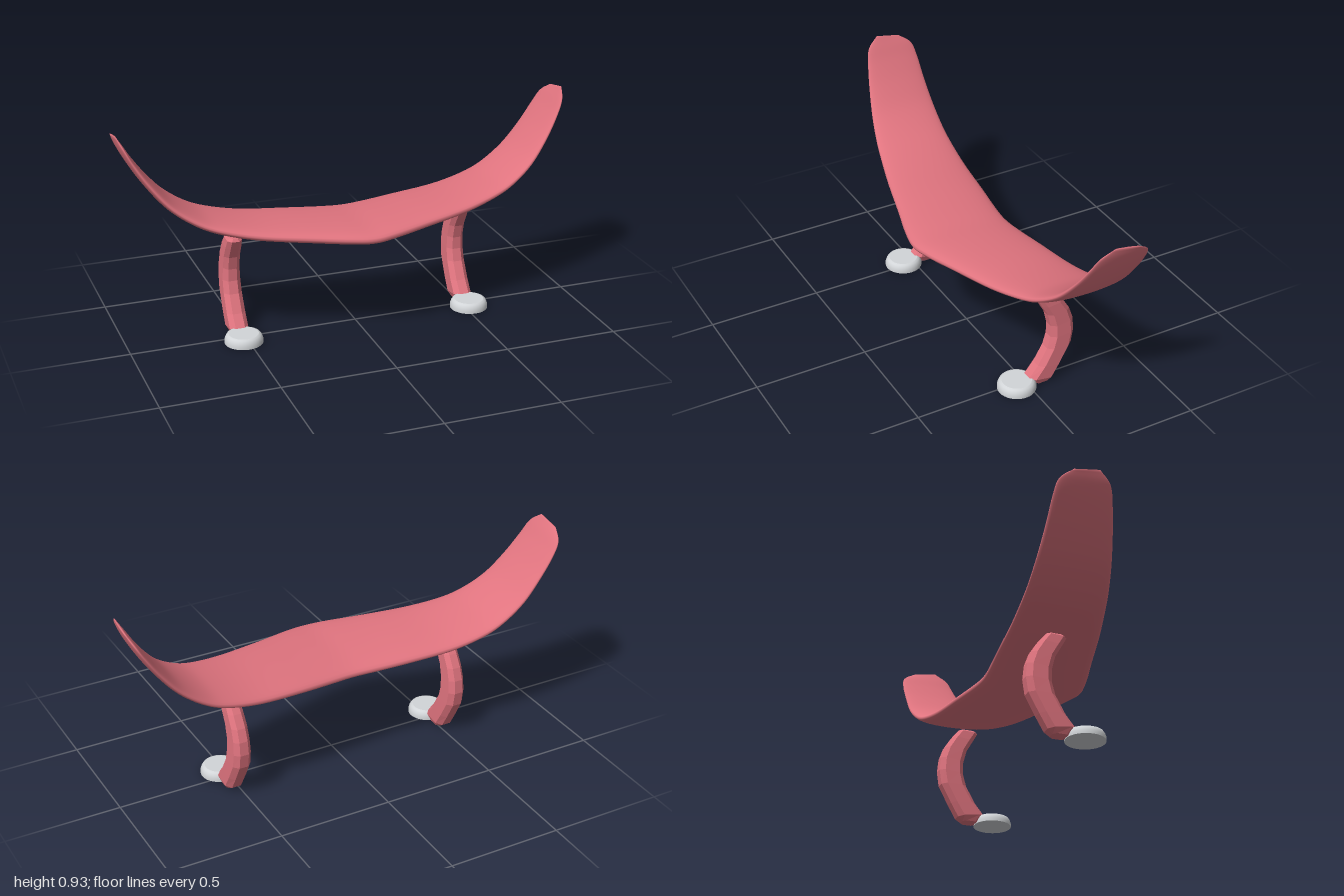
import * as THREE from 'three';

// Skins a list of closed rings (arrays of Vector3) and caps both ends
function loft(rings) {
  const n = rings[0].length, last = rings.length - 1;
  const points = rings.flat(), index = [];
  for (let i = 0; i < last; i++) {
    for (let j = 0; j < n; j++) {
      const k = (j + 1) % n, a = i * n, b = a + n;
      index.push(a + j, b + j, a + k, a + k, b + j, b + k);
    }
  }
  for (const end of [0, last]) {
    const centre = new THREE.Vector3();
    rings[end].forEach((p) => centre.addScaledVector(p, 1 / n));
    const c = points.push(centre) - 1;
    for (let j = 0; j < n; j++) {
      const a = end * n + j, b = end * n + (j + 1) % n;
      index.push(c, ...(end ? [b, a] : [a, b]));
    }
  }
  const geometry = new THREE.BufferGeometry().setFromPoints(points);
  geometry.setIndex(index);
  return geometry;
}

// Curved seat: x, front y, front z, back y, back z, half thickness
function seatGeometry() {
  const half = [
    [0, 0.47, 0.258, 0.455, -0.195, 0.04],
    [0.1, 0.475, 0.242, 0.457, -0.203, 0.04],
    [0.25, 0.485, 0.2, 0.465, -0.222, 0.038],
    [0.45, 0.502, 0.147, 0.48, -0.243, 0.034],
    [0.6, 0.53, 0.105, 0.512, -0.256, 0.03],
    [0.7, 0.567, 0.078, 0.555, -0.261, 0.026],
    [0.8, 0.635, 0.048, 0.63, -0.263, 0.022],
    [0.88, 0.728, 0.02, 0.724, -0.26, 0.018],
    [0.94, 0.82, -0.005, 0.812, -0.257, 0.014],
    [0.975, 0.888, -0.028, 0.872, -0.243, 0.01],
    [0.996, 0.932, -0.08, 0.912, -0.19, 0.004],
  ];
  const mirrored = half.slice(1).reverse().map(([x, ...rest]) => [-x, ...rest]);
  const stations = [...mirrored, ...half];
  const curve = (pick) => new THREE.CatmullRomCurve3(
    stations.map((s) => new THREE.Vector3(...pick(s))), false, 'catmullrom');
  const front = curve((s) => [s[0], s[1], s[2]]);
  const back = curve((s) => [s[0], s[3], s[4]]);
  const thick = curve((s) => [s[0], s[5], 0]);
  const rings = [], steps = 100, sides = 32;
  for (let i = 0; i <= steps; i++) {
    const t = i / steps;
    const f = front.getPoint(t), b = back.getPoint(t), h = thick.getPoint(t).y;
    const tangent = front.getTangent(t).add(back.getTangent(t)).setZ(0).normalize();
    const up = new THREE.Vector3(-tangent.y, tangent.x, 0);
    rings.push(Array.from({ length: sides }, (_, j) => {
      const a = j / sides * Math.PI * 2, s = Math.sin(a);
      return b.clone().lerp(f, 0.5 + 0.5 * Math.cos(a))
        .addScaledVector(up, h * Math.sign(s) * Math.abs(s) ** 0.85);
    }));
  }
  const geometry = loft(rings);
  geometry.computeVertexNormals();
  return geometry;
}

// Faceted bowed leg: front z, front y, back z, back y, half width
function legGeometry() {
  const sections = [
    [-0.03, 0.003, -0.097, 0.003, 0.03],
    [0, 0.038, -0.12, 0.02, 0.041],
    [-0.043, 0.09, -0.155, 0.08, 0.041],
    [-0.085, 0.165, -0.2, 0.163, 0.04],
    [-0.1, 0.22, -0.21, 0.228, 0.039],
    [-0.1, 0.275, -0.204, 0.288, 0.037],
    [-0.085, 0.335, -0.185, 0.342, 0.036],
    [-0.057, 0.385, -0.152, 0.395, 0.035],
    [-0.035, 0.425, -0.124, 0.43, 0.032],
    [-0.042, 0.438, -0.115, 0.438, 0.02],
  ];
  // Chamfered rectangle: across the width, along the depth
  const outline = [[0.5, 1], [-0.5, 1], [-1, 0.6], [-1, -0.6],
    [-0.5, -1], [0.5, -1], [1, -0.6], [1, 0.6]];
  return loft(sections.map(([fz, fy, bz, by, w]) => outline.map(([u, v]) => {
    const k = (v + 1) / 2;
    return new THREE.Vector3(u * w, by + (fy - by) * k, bz + (fz - bz) * k);
  }))).toNonIndexed();
}

export function createModel() {
  const red = new THREE.MeshStandardMaterial({ color: 0xe0747f });
  red.name = 'coral red';
  const redFaceted = red;
  const grey = new THREE.MeshStandardMaterial({ color: 0xd2d5d8 });
  grey.name = 'light grey';

  const model = new THREE.Group();
  model.name = 'bench';
  const add = (name, geometry, material, x = 0, z = 0) => {
    const mesh = new THREE.Mesh(geometry, material);
    mesh.name = name;
    mesh.position.set(x, 0, z);
    model.add(mesh);
  };

  add('seat', seatGeometry(), red);

  const leg = legGeometry();
  leg.computeVertexNormals();
  // Round foot pad with a flat base and a bevelled rim
  const foot = new THREE.LatheGeometry([
    [0, 0], [0.083, 0], [0.083, 0], [0.083, 0.014], [0.079, 0.026],
    [0.073, 0.036], [0.064, 0.04], [0.064, 0.04], [0, 0.04],
  ].map(([r, y]) => new THREE.Vector2(r, y)), 32);
  for (const [side, x] of [['left', 0.52], ['right', -0.52]]) {
    add(side + 'Leg', leg, redFaceted, x);
    add(side + 'Foot', foot, grey, x, 0.047);
  }
  return model;
}
